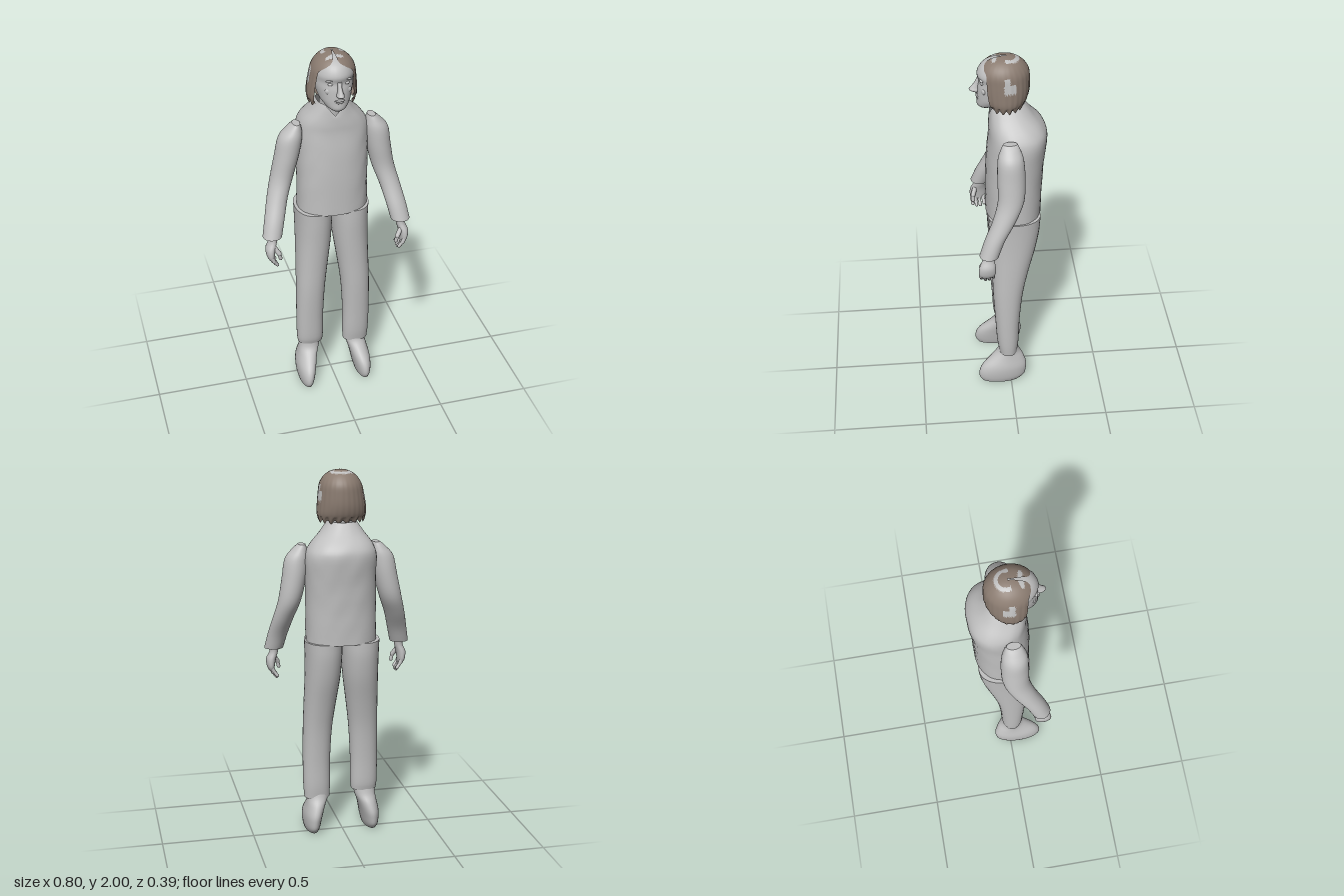
import * as THREE from 'three';

const grey = new THREE.MeshStandardMaterial({ color: 0xc0c0c0, side: THREE.DoubleSide });
grey.name = 'plain grey';
const brown = new THREE.MeshStandardMaterial({ color: 0x8a7b70, side: THREE.DoubleSide });
brown.name = 'hair brown';

// Smooth stack of rounded rings. Section: [y, centre x, centre z, half width x, half depth z], bottom to top
function loft(sections, { seg = 32, sub = 4, n = 2, arc = null, bottom = true, top = true, warp = null } = {}) {
  const mid = new THREE.CatmullRomCurve3(sections.map(s => new THREE.Vector3(s[1], s[0], s[2])), false, 'catmullrom');
  const rad = new THREE.CatmullRomCurve3(sections.map(s => new THREE.Vector3(s[3], 0, s[4])), false, 'catmullrom');
  const rows = (sections.length - 1) * sub;
  const pos = [], idx = [];
  const power = v => Math.sign(v) * Math.abs(v) ** (2 / n);
  const cols = arc ? seg + 1 : seg;
  const ring = r => {
    const c = mid.getPoint(r / rows), q = rad.getPoint(r / rows);
    const [a0, a1] = arc ? arc(c.y) : [0, Math.PI * 2];
    for (let i = 0; i < cols; i++) {
      const a = a0 + (a1 - a0) * i / seg;
      const p = new THREE.Vector3(c.x + q.x * power(Math.sin(a)), c.y, c.z + q.z * power(Math.cos(a)));
      if (warp) warp(p, a);
      pos.push(p.x, p.y, p.z);
    }
    return c;
  };
  for (let r = 0; r <= rows; r++) ring(r);
  for (let r = 0; r < rows; r++) for (let i = 0; i < seg; i++) {
    const a = r * cols + i, b = r * cols + (i + 1) % cols;
    idx.push(a, b, b + cols, a, b + cols, a + cols);
  }
  for (const [on, r] of [[bottom, 0], [top, rows]]) if (on) {
    const base = pos.length / 3, c = ring(r);
    pos.push(c.x, c.y, c.z);
    for (let i = 0; i < seg; i++) {
      const a = base + i, b = base + (i + 1) % cols;
      if (r) idx.push(a, b, base + cols); else idx.push(b, a, base + cols);
    }
  }
  const g = new THREE.BufferGeometry();
  g.setAttribute('position', new THREE.Float32BufferAttribute(pos, 3));
  g.setIndex(idx);
  g.computeVertexNormals();
  return g;
}

// Sort faces into two material groups by a rule on the face centre
function splitFaces(g, rule) {
  const p = g.attributes.position, old = g.index.array, lists = [[], []];
  for (let i = 0; i < old.length; i += 3) {
    const t = [old[i], old[i + 1], old[i + 2]];
    const mean = f => t.reduce((s, k) => s + p[f](k), 0) / 3;
    lists[rule(mean('getX'), mean('getY'), mean('getZ')) ? 1 : 0].push(...t);
  }
  g.setIndex([...lists[0], ...lists[1]]);
  g.addGroup(0, lists[0].length, 0);
  g.addGroup(lists[0].length, lists[1].length, 1);
  return g;
}

function add(parent, name, geometry, material = grey) {
  const m = new THREE.Mesh(geometry, material);
  m.name = name;
  parent.add(m);
  return m;
}

// Rounded finger segment between two points
function digit(parent, name, a, b, r) {
  const A = new THREE.Vector3(...a), B = new THREE.Vector3(...b), d = B.clone().sub(A);
  const m = add(parent, name, new THREE.CapsuleGeometry(r, d.length(), 4, 10));
  m.position.copy(A).add(B).multiplyScalar(0.5);
  m.quaternion.setFromUnitVectors(new THREE.Vector3(0, 1, 0), d.normalize());
}

function ball(parent, name, x, y, z, sx, sy, sz) {
  const m = add(parent, name, new THREE.SphereGeometry(1, 16, 10));
  m.position.set(x, y, z);
  m.scale.set(sx, sy, sz);
  return m;
}

export function createModel() {
  const model = new THREE.Group();
  model.name = 'standingFigure';

  // Jacket body with sloping shoulders, faint creases and a V opening at the collar
  add(model, 'torso', loft([
    [1.10, 0.013, -0.022, 0.188, 0.146], [1.28, 0.014, -0.025, 0.187, 0.148],
    [1.44, 0.017, -0.033, 0.187, 0.150], [1.56, 0.018, -0.045, 0.187, 0.150],
    [1.62, 0.012, -0.036, 0.165, 0.140], [1.68, 0.004, -0.012, 0.115, 0.112],
    [1.735, 0, 0.008, 0.075, 0.088],
  ], {
    seg: 48, n: 2.3, top: false,
    warp: (p, a) => {
      const k = 1 + 0.008 * Math.sin(p.y * 38 + 3 * Math.sin(a * 3)) * Math.sin(a * 5 + p.y * 9);
      p.x *= k; p.z *= k;
      if (p.z > 0 && p.y > 1.66) p.y -= Math.max(0, 1 - Math.abs(p.x) / 0.05) * (p.y - 1.66) * 0.85;
    },
  }));
  add(model, 'neck', loft([
    [1.62, 0, 0.005, 0.07, 0.07], [1.70, 0, 0.01, 0.06, 0.07], [1.80, 0, 0.015, 0.06, 0.07],
  ]));

  for (const s of [1, -1]) {
    const side = s > 0 ? 'left' : 'right';
    // Sleeves, bent forward at the elbow
    const shift = y => 0.015 * Math.max(0, (y - 1.04) / 0.57);
    add(model, side + 'Sleeve', loft([
      [1.035, 0.350, 0.130, 0.051, 0.050], [1.12, 0.331, 0.098, 0.053, 0.052],
      [1.22, 0.305, 0.048, 0.055, 0.059], [1.32, 0.274, 0.012, 0.060, 0.067],
      [1.44, 0.247, 0.008, 0.064, 0.071], [1.54, 0.230, 0.010, 0.062, 0.066],
      [1.59, 0.212, 0.010, 0.040, 0.050], [1.618, 0.200, 0.010, 0.020, 0.036],
    ].map(([y, x, ...rest]) => [y, s * x + shift(y), ...rest])));

    // Hand with four curled fingers and a thumb
    const hand = new THREE.Group();
    hand.name = side + 'Hand';
    model.add(hand);
    add(hand, 'palm', loft([
      [0.905, s * 0.362, 0.143, 0.014, 0.034], [0.93, s * 0.366, 0.142, 0.021, 0.044],
      [0.97, s * 0.364, 0.140, 0.026, 0.042], [1.01, s * 0.350, 0.134, 0.023, 0.030],
      [1.05, s * 0.346, 0.130, 0.024, 0.030],
    ], { seg: 20 }));
    for (let k = 0; k < 4; k++) {
      const z = 0.112 + k * 0.021, drop = [0.012, 0, 0, 0.01][k];
      digit(hand, 'fingerBase', [s * 0.364, 0.925, z], [s * 0.354, 0.892 + drop, z], 0.0105);
      digit(hand, 'fingerTip', [s * 0.354, 0.892 + drop, z], [s * 0.336, 0.868 + drop, z - 0.004], 0.009);
    }
    digit(hand, 'thumbBase', [s * 0.350, 0.985, 0.155], [s * 0.325, 0.945, 0.170], 0.013);
    digit(hand, 'thumbTip', [s * 0.325, 0.945, 0.170], [s * 0.318, 0.915, 0.170], 0.010);

    // Trousers, straight and tapering towards the ankle
    const off = 0.008, hem = s > 0 ? 0.20 : 0.23;
    add(model, side + 'TrouserLeg', loft([
      [hem, 0.132, 0.014, 0.070, 0.050], [0.28, 0.133, 0.016, 0.074, 0.060],
      [0.42, 0.133, 0.018, 0.075, 0.067], [0.60, 0.127, 0.015, 0.079, 0.081],
      [0.75, 0.116, 0.002, 0.086, 0.098], [0.90, 0.104, -0.014, 0.094, 0.120],
      [1.02, 0.100, -0.021, 0.098, 0.134], [1.105, 0.101, -0.022, 0.100, 0.138],
    ].map(([y, x, ...rest]) => [y, s * x + off, ...rest]), { n: 2.2 }));

    // Shoes, with a narrow sole and a long rounded toe
    add(model, side + 'Shoe', loft([
      [0, 0.166, 0.060, 0.036, 0.105], [0.03, 0.166, 0.052, 0.044, 0.128],
      [0.07, 0.164, 0.046, 0.050, 0.132], [0.11, 0.159, 0.035, 0.053, 0.122],
      [0.16, 0.147, 0.018, 0.054, 0.088], [0.20, 0.137, 0.012, 0.058, 0.058],
      [0.25, 0.133, 0.014, 0.060, 0.046],
    ].map(([y, x, ...rest]) => [y, s * x + (s > 0 ? 0 : off * y / 0.25), ...rest])));
  }

  // Head: skull and face
  const head = new THREE.Group();
  head.name = 'head';
  model.add(head);
  add(head, 'face', loft([
    [1.722, 0.004, 0.115, 0.026, 0.030], [1.738, 0.004, 0.100, 0.050, 0.060],
    [1.77, 0.004, 0.068, 0.076, 0.092], [1.80, 0.004, 0.047, 0.088, 0.113],
    [1.84, 0.004, 0.035, 0.098, 0.122], [1.875, 0.004, 0.029, 0.101, 0.122],
    [1.91, 0.004, 0.033, 0.100, 0.126], [1.95, 0.003, 0.033, 0.084, 0.108],
    [1.975, 0.002, 0.032, 0.056, 0.074], [1.988, 0, 0.03, 0.015, 0.02],
  ]));
  add(head, 'nose', loft([
    [1.806, 0.006, 0.160, 0.013, 0.012], [1.818, 0.006, 0.167, 0.020, 0.031],
    [1.832, 0.006, 0.164, 0.015, 0.028], [1.855, 0.006, 0.153, 0.011, 0.021],
    [1.885, 0.006, 0.146, 0.011, 0.012],
  ], { seg: 16 }));
  ball(head, 'upperLip', 0.005, 0 + 1.787, 0.158, 0.027, 0.006, 0.008);
  ball(head, 'lowerLip', 0.005, 1.775, 0.155, 0.022, 0.006, 0.009);
  ball(head, 'chin', 0.004, 1.747, 0.143, 0.026, 0.018, 0.018);
  for (const s of [1, -1]) {
    ball(head, 'eye', 0.005 + s * 0.040, 1.872, 0.136, 0.016, 0.008, 0.010);
    ball(head, 'brow', 0.005 + s * 0.042, 1.893, 0.138, 0.026, 0.006, 0.011).rotation.z = -s * 0.12;
    ball(head, 'cheek', 0.005 + s * 0.045, 1.832, 0.125, 0.024, 0.020, 0.016);
  }

  // Bobbed hair open at the face, with bare patches at the crown and ears
  const open = y => {
    const t = THREE.MathUtils.smoothstep(y, 1.92, 1.985);
    return [THREE.MathUtils.lerp(0.78, 0.05, t), Math.PI * 2 - THREE.MathUtils.lerp(0.98, 0.3, t)];
  };
  const hair = loft([
    [1.735, 0, 0.020, 0.116, 0.088], [1.77, 0, 0.020, 0.129, 0.112],
    [1.82, 0, 0.020, 0.127, 0.125], [1.88, 0.002, 0.022, 0.119, 0.128],
    [1.925, 0.004, 0.024, 0.110, 0.125], [1.96, 0.005, 0.024, 0.090, 0.104],
    [1.985, 0.005, 0.022, 0.060, 0.072], [1.996, 0.004, 0.018, 0.030, 0.036],
    [2.0, 0.003, 0.016, 0.004, 0.005],
  ], {
    seg: 72, arc: open, bottom: false, top: false,
    warp: (p, a) => {
      const k = 1 + 0.01 * Math.sin(a * 26) * Math.min(1, (2 - p.y) * 8);
      p.x *= k; p.z *= k;
      if (p.y < 1.76) p.y += 0.01 * Math.sin(a * 17);
    },
  });
  splitFaces(hair, (x, y, z) => {
    const r = Math.hypot(x - 0.005, z - 0.005);
    const crown = y > 1.95 && r > 0.038 && r < 0.058 && z < 0.022;
    const fringe = y > 1.94 && z > 0.055 + Math.abs(x) * 0.3 && z < 0.085 && Math.abs(x) < 0.045;
    const ear = Math.abs(x) > 0.09 && y > 1.84 && y < (z > 0 ? 1.925 : 1.89) && z > -0.03 && z < 0.03;
    return crown || fringe || ear;
  });
  add(head, 'hair', hair, [brown, grey]);

  return model;
}
